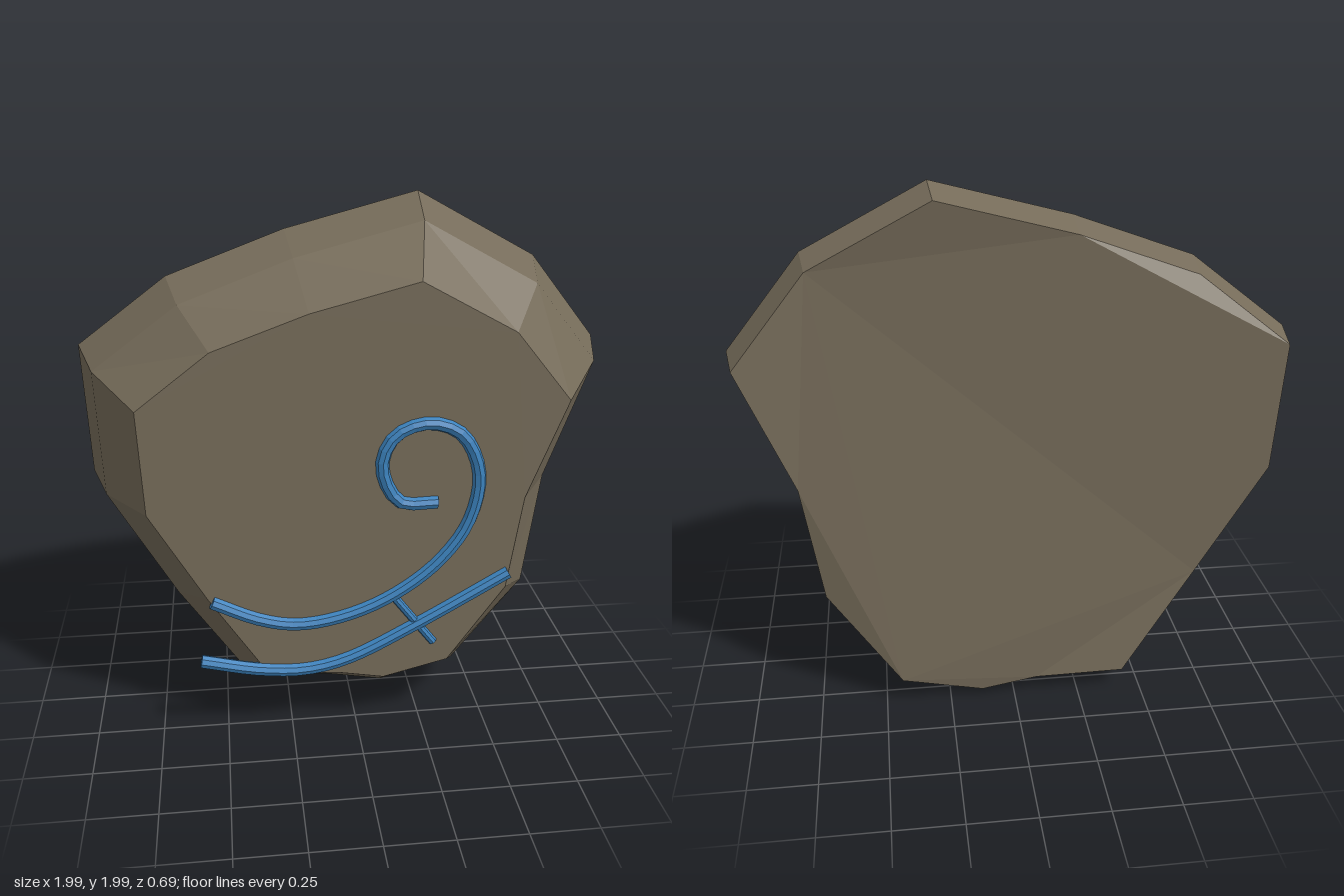
import * as THREE from 'three';

// Stone outline, counter-clockwise from the front: x, y, depth shift of the side rings
const OUTLINE = [
  [-1, 1.45, -0.02], [-0.98, 0.95, 0], [-0.72, 0.5, 0.01], [-0.44, 0.07, -0.02],
  [-0.09, 0.05, 0], [0.13, 0.01, 0], [0.45, 0.09, -0.015], [0.73, 0.48, 0.025],
  [0.8, 0.95, 0.01], [0.99, 1.43, -0.015], [0.72, 1.76, 0.03], [0.28, 2, -0.01],
  [-0.22, 1.87, 0], [-0.66, 1.71, 0.025],
];
// Rings from front to back: scale about the centre, depth, strength of the shift
const RINGS = [[0.77, 0.32, 0], [0.93, 0.1, 1], [1, -0.15, 1], [0.967, -0.325, 1]];
const CENTRE_Y = 0.95;

function stoneGeometry() {
  const n = OUTLINE.length;
  const positions = [];
  const index = [];
  for (const [s, z, k] of RINGS) {
    for (const [x, y, dz] of OUTLINE) {
      positions.push(x * s, CENTRE_Y + (y - CENTRE_Y) * s, z + dz * k);
    }
  }
  // Sides
  for (let r = 0; r < RINGS.length - 1; r++) {
    for (let i = 0; i < n; i++) {
      const j = (i + 1) % n;
      const a = r * n + i, b = a + n, d = r * n + j, c = d + n;
      index.push(a, b, c, a, c, d);
    }
  }
  // Flat front and slightly uneven back
  const contour = OUTLINE.map(([x, y]) => new THREE.Vector2(x, y));
  const back = (RINGS.length - 1) * n;
  for (const [a, b, c] of THREE.ShapeUtils.triangulateShape(contour, [])) {
    index.push(a, b, c, back + c, back + b, back + a);
  }
  const g = new THREE.BufferGeometry();
  g.setAttribute('position', new THREE.Float32BufferAttribute(positions, 3));
  g.setIndex(index);
  const flat = g.toNonIndexed();
  flat.computeVertexNormals();
  return flat;
}

export function createModel() {
  const model = new THREE.Group();
  model.name = 'carvedStone';
  const stone = new THREE.MeshStandardMaterial({ color: 0x766c5a, flatShading: true });
  stone.name = 'stone';
  const blue = new THREE.MeshStandardMaterial({ color: 0x3b82bd, flatShading: true });
  blue.name = 'blue inlay';

  const body = new THREE.Mesh(stoneGeometry(), stone);
  body.name = 'stoneBody';
  model.add(body);

  // Blue rods half sunk into the front face, with closed ends
  function rod(name, points, radius, segments) {
    const curve = new THREE.CatmullRomCurve3(points.map(([x, y]) => new THREE.Vector3(x, y, 0.32)));
    const group = new THREE.Group();
    group.name = name;
    group.add(new THREE.Mesh(new THREE.TubeGeometry(curve, segments, radius, 8), blue));
    for (const t of [0, 1]) {
      const cap = new THREE.Mesh(new THREE.CircleGeometry(radius, 8), blue);
      const p = curve.getPointAt(t);
      const dir = curve.getTangentAt(t).multiplyScalar(t ? 1 : -1);
      cap.position.copy(p);
      cap.quaternion.setFromUnitVectors(new THREE.Vector3(0, 0, 1), dir);
      group.add(cap);
    }
    group.children.forEach((m, i) => { m.name = i ? name + 'End' + i : name + 'Rod'; });
    model.add(group);
  }

  rod('spiral', [
    [0.29, 0.95], [0.15, 0.96], [0.085, 1.1], [0.13, 1.21], [0.25, 1.255], [0.37, 1.21],
    [0.44, 1.06], [0.41, 0.87], [0.3, 0.71], [0.13, 0.58], [-0.05, 0.505], [-0.23, 0.48],
    [-0.37, 0.51], [-0.54, 0.59],
  ], 0.025, 48);
  rod('lowerSweep', [
    [-0.59, 0.345], [-0.37, 0.295], [-0.2, 0.285], [-0.04, 0.32], [0.22, 0.45], [0.57, 0.65],
  ], 0.025, 24);
  rod('crossBar', [[0.13, 0.58], [0.29, 0.37]], 0.016, 1);

  return model;
}
